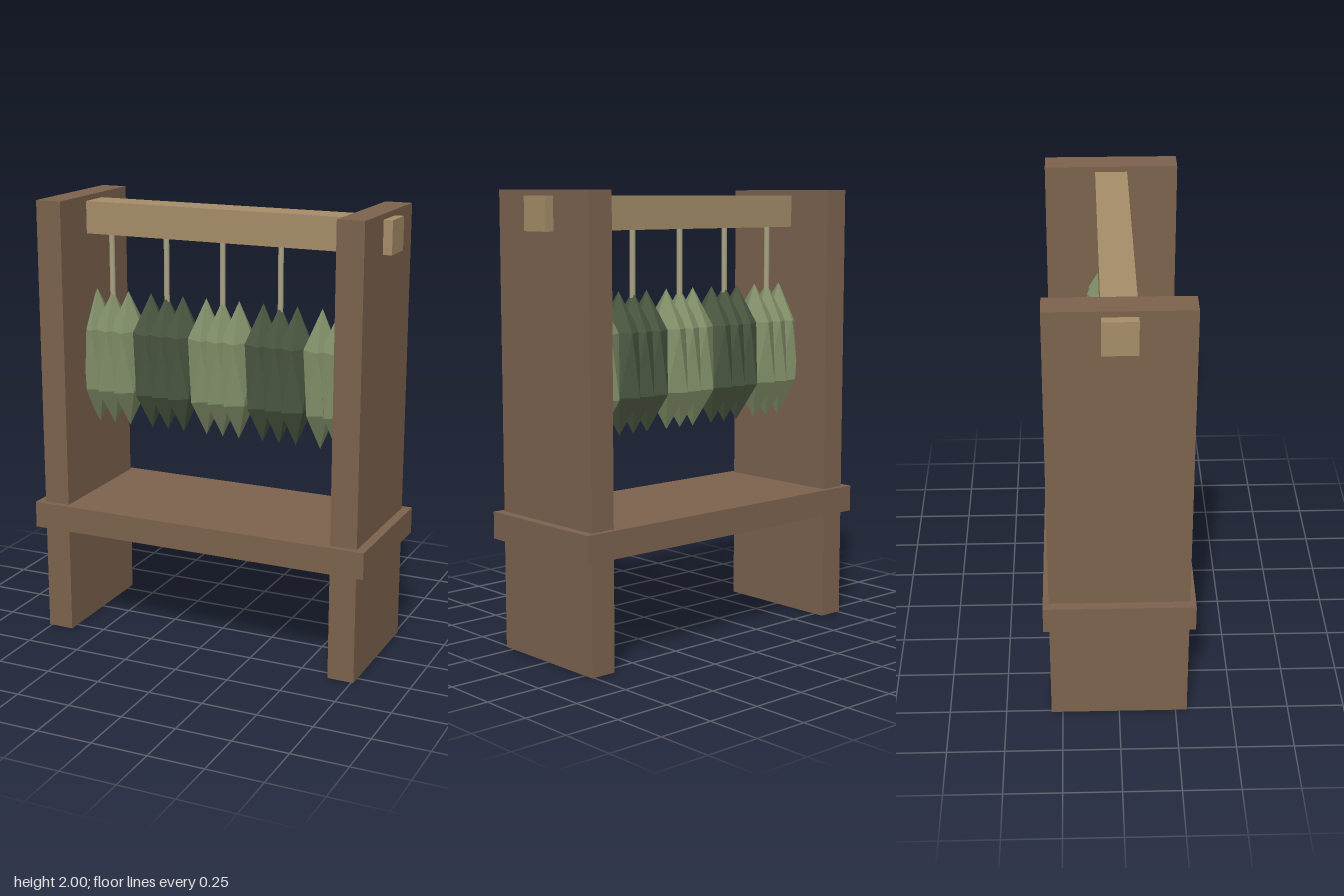
import * as THREE from 'three';

export function createModel() {
  const group = new THREE.Group();
  group.name = 'herbDryingRack';

  const mat = (name, color, flatShading = false) => {
    const m = new THREE.MeshStandardMaterial({ color, flatShading });
    m.name = name;
    return m;
  };
  const darkWood = mat('darkWood', 0x7c634e);
  const lightWood = mat('lightWood', 0xa58d69);
  const stemColor = mat('driedStem', 0xaba584);
  const paleHerb = mat('paleHerb', 0x84926b, true);
  const darkHerb = mat('darkHerb', 0x4c5842, true);

  const add = (name, geometry, material, x, y, z = 0, parent = group) => {
    const mesh = new THREE.Mesh(geometry, material);
    mesh.name = name;
    mesh.position.set(x, y, z);
    parent.add(mesh);
    return mesh;
  };

  // Frame: two side boards, a shelf and a hanging bar
  const board = new THREE.BoxGeometry(0.12, 2, 0.6);
  add('leftSideBoard', board, darkWood, 0.7, 1);
  add('rightSideBoard', board, darkWood, -0.7, 1);
  add('shelf', new THREE.BoxGeometry(1.6, 0.12, 0.65), darkWood, 0, 0.552);
  add('hangingBar', new THREE.BoxGeometry(1.6, 0.145, 0.145), lightWood, 0, 1.903);

  // Leaf clump: an icosahedron stood on one corner, then stretched thin and tall
  const clump = new THREE.IcosahedronGeometry(1, 0);
  clump.rotateZ(-Math.atan2(1, (1 + Math.sqrt(5)) / 2));
  clump.scale(0.08, 0.315, 0.136);
  const stem = new THREE.CylinderGeometry(0.013, 0.013, 0.36, 8);

  // Five hanging bundles of three clumps, alternating in colour
  for (let i = -2; i <= 2; i++) {
    const bundle = new THREE.Group();
    bundle.name = 'herbBundle';
    bundle.position.x = i * 0.276;
    group.add(bundle);
    add('stem', stem, stemColor, 0, 1.67, 0, bundle);
    for (let j = -1; j <= 1; j++) {
      add('leafClump', clump, i % 2 ? darkHerb : paleHerb, j * 0.08, 1.253, 0, bundle);
    }
  }
  return group;
}
